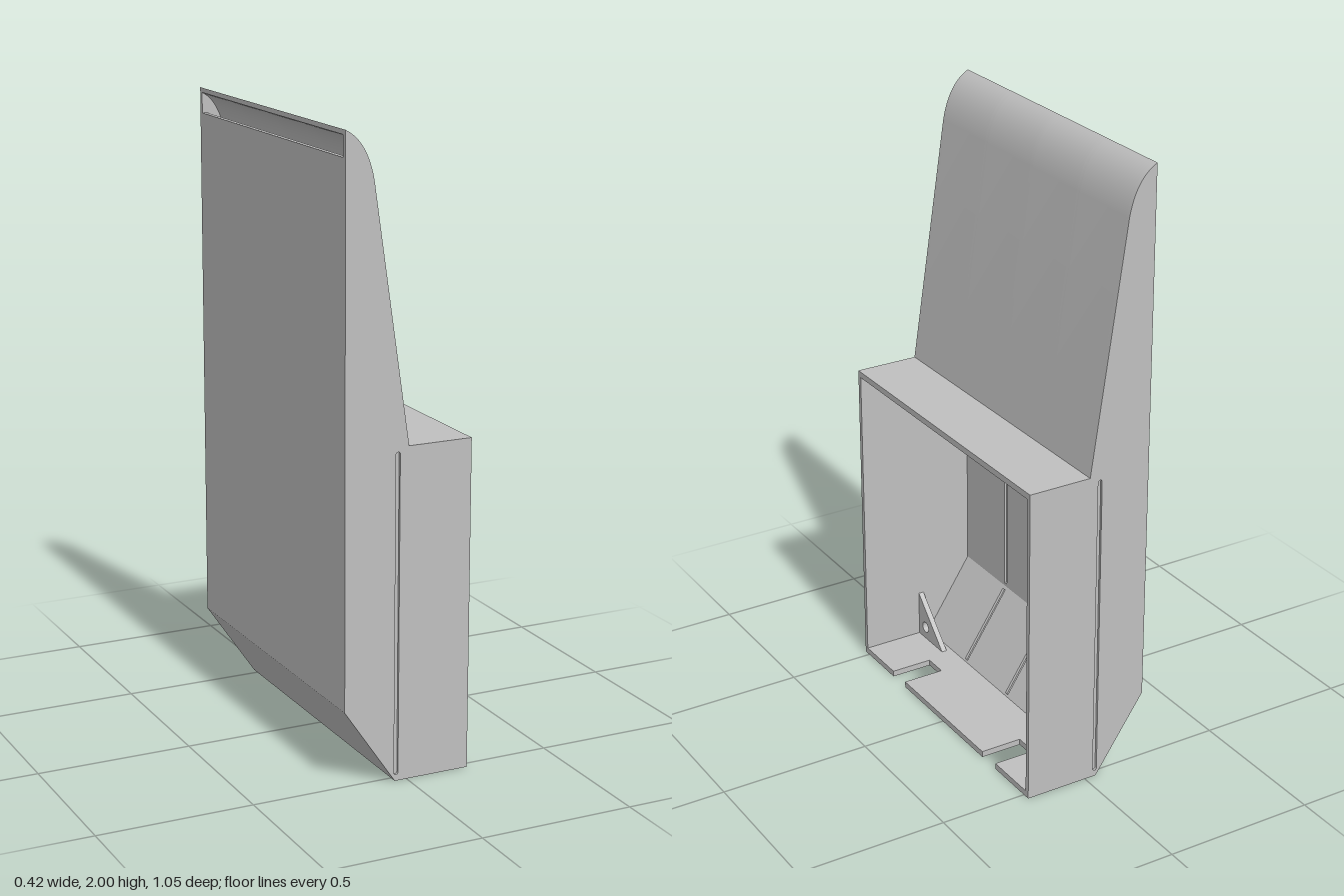
import * as THREE from 'three';
import { toCreasedNormals } from 'three/addons/utils/BufferGeometryUtils.js';

const HALF = 0.525, WALL = 0.015;

// Extrude an x-y shape between two z positions
function slab(shape, z0, z1) {
  const g = new THREE.ExtrudeGeometry(shape, { depth: z1 - z0, bevelEnabled: false, curveSegments: 12 });
  g.translate(0, 0, z0);
  return toCreasedNormals(g, 0.4);
}

// Full side outline of the housing
function outline() {
  const s = new THREE.Shape();
  s.moveTo(-0.21, 0.25);
  s.lineTo(-0.04, 0);
  s.lineTo(0.21, 0);
  s.lineTo(0.21, 1.055);
  s.lineTo(0, 1.055);
  s.lineTo(-0.118, 1.85);
  s.quadraticCurveTo(-0.139, 1.965, -0.21, 2);
  return s;
}

// Thin-walled section; grooved sections have shallow recesses in the back and slope
function section(grooved) {
  const s = new THREE.Shape();
  s.moveTo(-0.21, 0.25);
  s.lineTo(-0.04, 0);
  s.lineTo(0.07, 0);
  s.lineTo(0.07, 0.02);
  s.lineTo(-0.03, 0.02);
  if (grooved) {
    s.lineTo(-0.034, 0.026);
    s.lineTo(-0.041, 0.021);
    s.lineTo(-0.191, 0.25);
    s.lineTo(-0.184, 0.255);
  }
  s.lineTo(-0.19, 0.265);
  if (grooved) {
    s.lineTo(-0.19, 0.275);
    s.lineTo(-0.198, 0.275);
    s.lineTo(-0.198, 1.035);
  }
  s.lineTo(-0.19, 1.035);
  s.lineTo(0.21, 1.035);
  s.lineTo(0.21, 1.055);
  s.lineTo(0, 1.055);
  s.lineTo(-0.118, 1.85);
  s.quadraticCurveTo(-0.139, 1.965, -0.21, 2);
  s.lineTo(-0.21, 1.985);
  s.quadraticCurveTo(-0.152, 1.955, -0.133, 1.85);
  s.lineTo(-0.016, 1.06);
  s.lineTo(-0.195, 1.06);
  s.lineTo(-0.195, 1.92);
  s.lineTo(-0.21, 1.92);
  return s;
}

export function createModel() {
  const model = new THREE.Group();
  model.name = 'housing';
  const grey = new THREE.MeshStandardMaterial({ color: 0xbfbfbf });
  grey.name = 'grey plastic';
  const add = (name, geometry) => {
    const m = new THREE.Mesh(geometry, grey);
    m.name = name;
    model.add(m);
    return m;
  };

  // Shell, alternating plain and grooved stretches
  const inner = HALF - WALL, g = 0.0075;
  const cuts = [-inner];
  for (const z of [-0.26, 0, 0.26]) cuts.push(z - g, z + g);
  cuts.push(inner);
  for (let i = 0; i < cuts.length - 1; i++) {
    add(i % 2 ? 'groovedShell' : 'shell', slab(section(i % 2 === 1), cuts[i], cuts[i + 1]));
  }

  // Bottom lip with two notches open to the edge
  for (const [a, b] of [[-inner, -0.33], [-0.25, 0.25], [0.33, inner]]) {
    const lip = add('bottomLip', new THREE.BoxGeometry(0.14, 0.02, b - a));
    lip.position.set(0.14, 0.01, (a + b) / 2);
  }

  // Side walls: a full inner layer and an outer layer cut by a long groove
  const slotted = outline();
  const slot = new THREE.Path();
  const r = 0.007, sx = -0.036;
  slot.absarc(sx, 1.033, r, 0, Math.PI, false);
  slot.absarc(sx, 0.027, r, Math.PI, Math.PI * 2, false);
  slot.closePath();
  slotted.holes.push(slot);
  const mid = HALF - 0.008;
  add('leftSideWall', slab(outline(), inner, mid));
  add('leftSideSkin', slab(slotted, mid, HALF));
  add('rightSideWall', slab(outline(), -mid, -inner));
  add('rightSideSkin', slab(slotted, -HALF, -mid));

  // Drilled corner gussets, drawn in z-y and turned to face +x
  for (const sz of [-1, 1]) {
    for (const [y, sy] of [[0.02, 1], [1.035, -1]]) {
      const s = new THREE.Shape();
      s.moveTo(-sz * inner, y);
      s.lineTo(-sz * (inner - 0.155), y);
      s.lineTo(-sz * inner, y + sy * 0.155);
      const hole = new THREE.Path();
      hole.absarc(-sz * 0.467, y + sy * 0.042, 0.019, 0, Math.PI * 2, true);
      s.holes.push(hole);
      add('cornerGusset', slab(s, -0.012, 0.006)).rotation.y = Math.PI / 2;
    }
  }
  return model;
}
